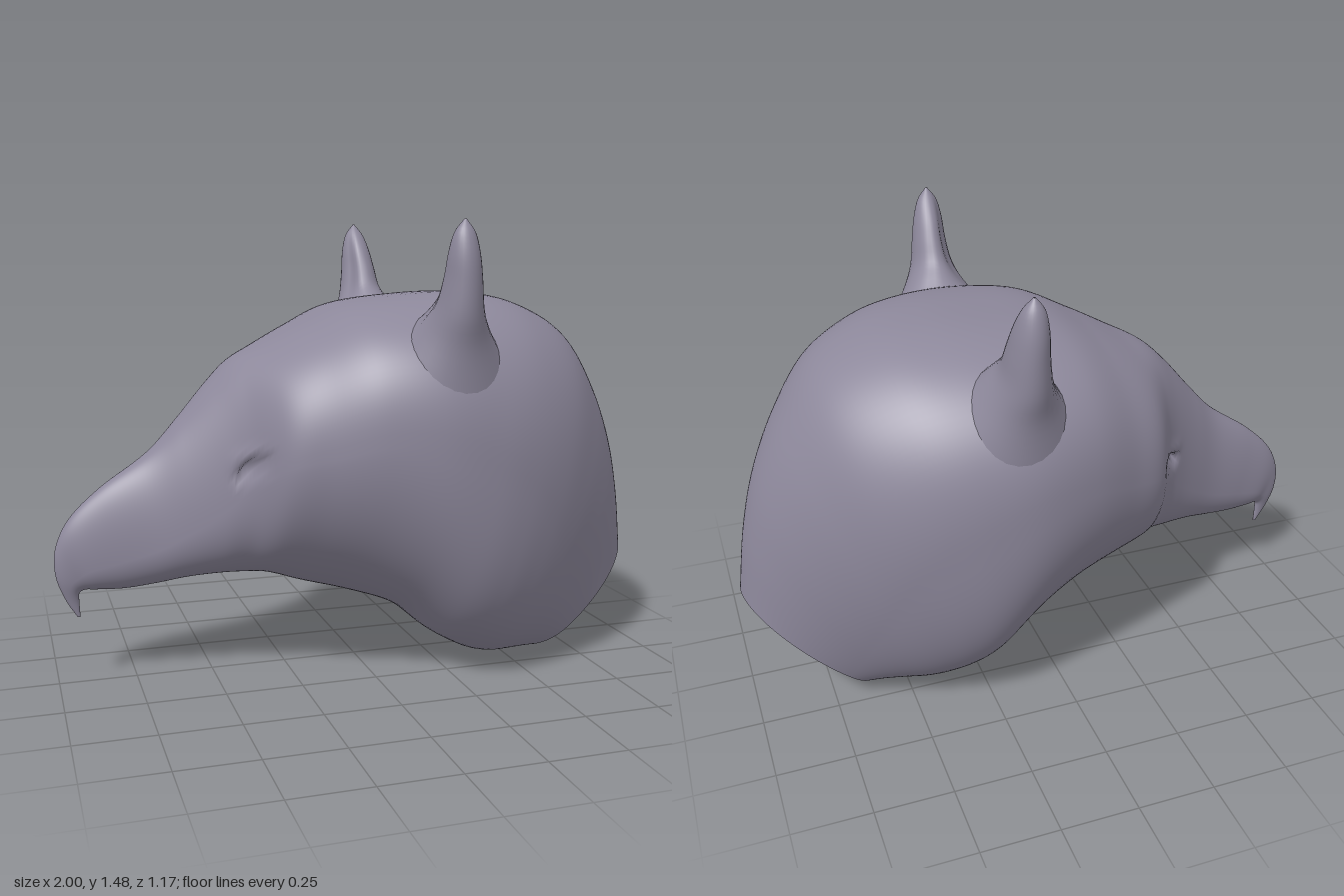
import * as THREE from 'three';

// Skins a grid of points: u runs along the part, v goes round it (closed)
function loft(nu, nv, point, material, name) {
  const pos = [], idx = [];
  for (let i = 0; i <= nu; i++) {
    for (let j = 0; j < nv; j++) pos.push(...point(i / nu, (j / nv) * Math.PI * 2));
  }
  for (let i = 0; i < nu; i++) {
    for (let j = 0; j < nv; j++) {
      const k = (j + 1) % nv;
      const a = i * nv + j, b = i * nv + k, c = a + nv, d = b + nv;
      idx.push(a, b, c, b, d, c);
    }
  }
  const geo = new THREE.BufferGeometry();
  geo.setAttribute('position', new THREE.Float32BufferAttribute(pos, 3));
  geo.setIndex(idx);
  geo.computeVertexNormals();
  const mesh = new THREE.Mesh(geo, material);
  mesh.name = name;
  return mesh;
}

const spline = (pts) =>
  new THREE.CatmullRomCurve3(pts.map((p) => new THREE.Vector3(...p)), false, 'catmullrom', 0.5);
const spow = (v, e) => Math.sign(v) * Math.pow(Math.abs(v), e);

// Head sections, beak tip to neck: top x, top y, bottom x, bottom y, half width, level of widest point
const SECTIONS = [
  [-0.935, 0.22, -0.925, 0.22, 0.004, 0.5],
  [-0.97, 0.28, -0.927, 0.27, 0.012, 0.5],
  [-0.998, 0.36, -0.925, 0.3, 0.025, 0.4],
  [-0.996, 0.45, -0.905, 0.31, 0.037, 0.3],
  [-0.95, 0.545, -0.87, 0.308, 0.056, 0.3],
  [-0.85, 0.64, -0.78, 0.305, 0.078, 0.3],
  [-0.7, 0.745, -0.68, 0.315, 0.112, 0.3],
  [-0.6, 0.85, -0.58, 0.33, 0.157, 0.33],
  [-0.5, 0.965, -0.48, 0.337, 0.215, 0.38],
  [-0.42, 1.04, -0.4, 0.335, 0.28, 0.46],
  [-0.32, 1.09, -0.32, 0.328, 0.4, 0.54],
  [-0.2, 1.15, -0.2, 0.29, 0.46, 0.56],
  [-0.05, 1.215, -0.05, 0.25, 0.525, 0.58],
  [0.15, 1.243, 0.1, 0.2, 0.565, 0.58],
  [0.35, 1.25, 0.22, 0.105, 0.56, 0.56],
  [0.53, 1.22, 0.3, 0.055, 0.53, 0.54],
  [0.7, 1.13, 0.36, 0.025, 0.48, 0.5],
  [0.82, 0.97, 0.42, 0.008, 0.42, 0.45],
  [0.91, 0.78, 0.48, 0.002, 0.355, 0.4],
  [0.965, 0.58, 0.53, 0, 0.3, 0.36],
  [1.0, 0.36, 0.58, 0, 0.25, 0.33],
];
// Squareness of the upper and lower half of the section, evenly spaced from beak to neck
const SQUARENESS = [
  [2, 2], [2, 2], [2.1, 2], [2.2, 2], [2.25, 2.1], [2.35, 1.85],
  [2.6, 1.95], [2.4, 2.7], [2.15, 2.75], [2, 2.6], [1.9, 2.4],
];

function buildHead(material) {
  const ridge = spline(SECTIONS.map((s) => s.slice(0, 3)));
  const girth = spline(SECTIONS.map((s) => s.slice(3)));
  const square = spline(SQUARENESS.map(([upper, lower]) => [upper, lower, 0]));
  return loft(160, 112, (u, v) => {
    const a = ridge.getPoint(u), b = girth.getPoint(u), n = square.getPoint(u);
    const e = 2 / (Math.cos(v) > 0 ? n.x : n.y);
    const c = spow(Math.cos(v), e);
    const s = b.z + (c > 0 ? 1 - b.z : b.z) * c;
    const x = a.z + (a.x - a.z) * s;
    const y = b.x + (a.y - b.x) * s;
    let z = b.y * spow(Math.sin(v), e);
    // slanted eye sockets under a slight brow
    const p = (x + 0.41) * 0.85 + (y - 0.73) * 0.53;
    const q = (y - 0.73) * 0.85 - (x + 0.41) * 0.53;
    const bump = (off, r) => Math.exp(-((p / 0.05) ** 4) - ((q - off) / r) ** 2);
    z += Math.sign(z) * (0.012 * bump(0.03, 0.02) - 0.045 * bump(0, 0.016));
    return [x, y, z];
  }, material, 'head');
}

// Ear rings: height, centre x, centre z, radius x, radius z
const EAR = [
  [1.07, 0.18, 0.42, 0.17, 0.125],
  [1.16, 0.178, 0.452, 0.11, 0.105],
  [1.23, 0.175, 0.485, 0.075, 0.094],
  [1.31, 0.175, 0.506, 0.06, 0.08],
  [1.38, 0.172, 0.522, 0.05, 0.062],
  [1.44, 0.17, 0.535, 0.033, 0.034],
  [1.48, 0.17, 0.541, 0.003, 0.003],
];

function buildEar(material) {
  const centre = spline(EAR.map(([y, x, z]) => [x, y, z]));
  const radius = spline(EAR.map((r) => [r[3], 0, r[4]]));
  return loft(24, 28, (u, v) => {
    const c = centre.getPoint(u), r = radius.getPoint(u);
    // shallow hollow on the inner front of the ear
    const hollow = 1 - 0.3 * Math.exp(-(((v - 2.5) / 0.5) ** 2)) * Math.sin(Math.PI * u);
    const dz = r.z * Math.sin(v) * hollow;
    // the root is tilted to follow the slope of the skull
    const tilt = 0.9 * (1 - u) ** 2;
    return [c.x + r.x * Math.cos(v) * hollow, c.y + dz * tilt, c.z - dz];
  }, material, 'ear');
}

export function createModel() {
  const group = new THREE.Group();
  group.name = 'beakedHead';
  const material = new THREE.MeshStandardMaterial({ color: 0x8d889b, side: THREE.DoubleSide });
  group.add(buildHead(material));

  // mirrored pair of ears
  for (const side of [1, -1]) {
    const ear = buildEar(material);
    ear.scale.z = side;
    group.add(ear);
  }
  return group;
}
